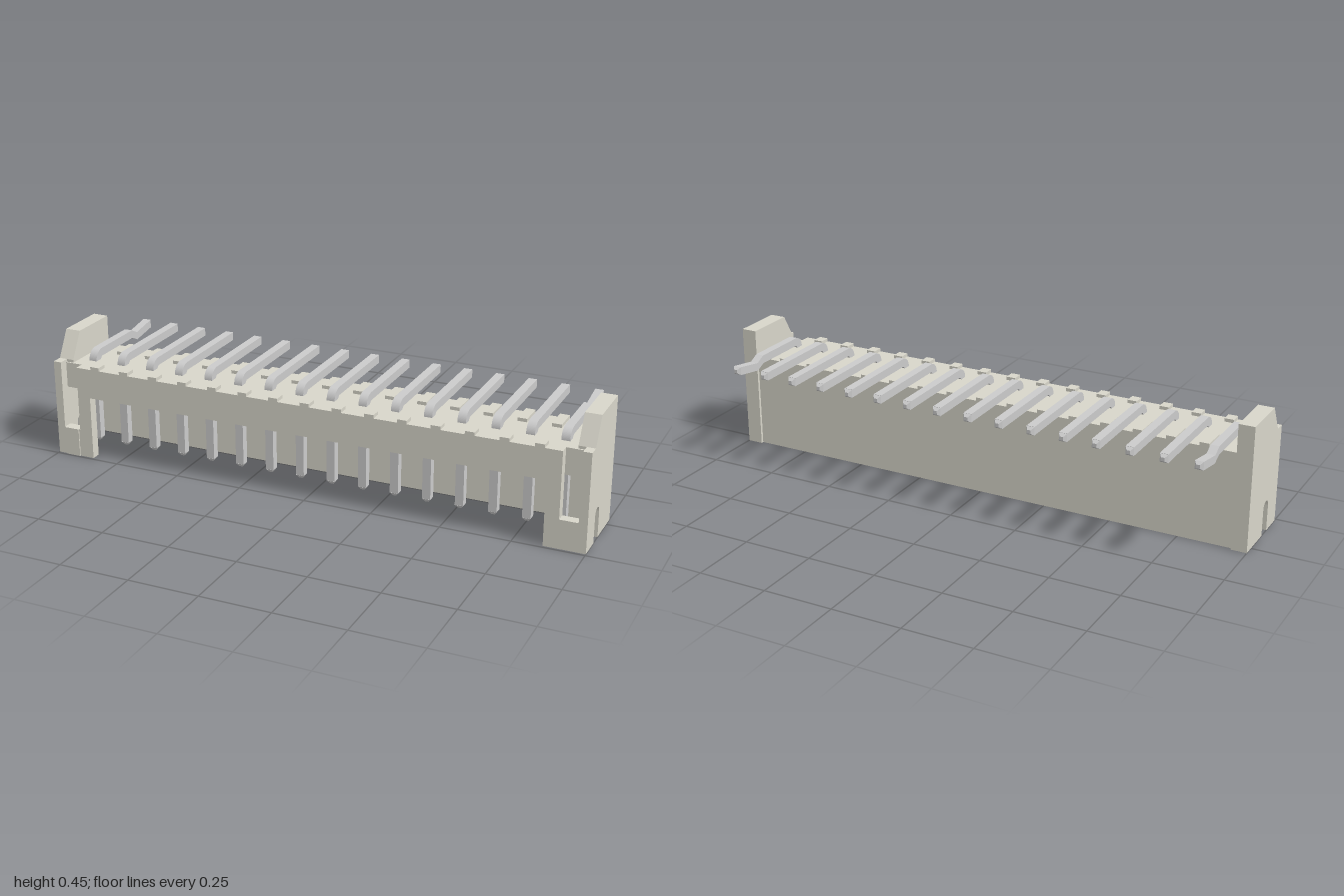
import * as THREE from 'three';

const bodyMat = new THREE.MeshStandardMaterial({ color: 0xd8d6ca, flatShading: true });
const pinMat = new THREE.MeshStandardMaterial({ color: 0xcccccc, flatShading: true });

const PINS = 16, PITCH = 0.1184, PIN_W = 0.03;

export function createModel() {
  const root = new THREE.Group();
  root.name = 'angledPinHeader';

  function add(parent, name, geo, mat) {
    const m = new THREE.Mesh(geo, mat);
    m.name = name;
    parent.add(m);
    return m;
  }

  // box given by its limits on each axis
  function block(parent, name, x0, x1, y0, y1, z0, z1) {
    const g = new THREE.BoxGeometry(x1 - x0, y1 - y0, z1 - z0);
    g.translate((x0 + x1) / 2, (y0 + y1) / 2, (z0 + z1) / 2);
    return add(parent, name, g, bodyMat);
  }

  // side profile drawn in (z, y), extruded from x0 to x1
  function sideExtrude(shape, x0, x1) {
    const g = new THREE.ExtrudeGeometry(shape, { depth: x1 - x0, bevelEnabled: false, curveSegments: 8 });
    g.rotateY(-Math.PI / 2);
    g.translate(x1, 0, 0);
    return g;
  }

  const polygon = pts => new THREE.Shape(pts.map(p => new THREE.Vector2(p[0], p[1])));

  // housing: deck, back wall and front wall around an open-bottomed cavity
  const housing = new THREE.Group();
  housing.name = 'housing';
  root.add(housing);
  block(housing, 'deck', -0.97, 0.97, 0.25, 0.345, -0.03, 0.206);
  block(housing, 'backWall', -0.97, 0.97, 0, 0.25, -0.03, 0);

  // front wall with its wide window and the two open end slots
  const half = [[0.855, 0], [0.97, 0], [0.97, 0.105], [0.905, 0.105], [0.905, 0.345]];
  const mirrored = half.map(p => [-p[0], p[1]]).reverse();
  const front = polygon([...half, ...mirrored, [-0.855, 0.235], [0.855, 0.235]]);
  const frontGeo = new THREE.ExtrudeGeometry(front, { depth: 0.035, bevelEnabled: false });
  frontGeo.translate(0, 0, 0.205);
  add(housing, 'frontWall', frontGeo, bodyMat);
  block(housing, 'firstPinMark', -0.965, -0.91, 0, 0.105, 0.24, 0.244);

  // ribs midway between the pins, on the deck and inside the cavity
  for (let i = 0; i < PINS - 1; i++) {
    const x = (i - (PINS - 2) / 2) * PITCH;
    block(housing, 'rearDeckRib', x - 0.017, x + 0.017, 0.34, 0.357, -0.03, 0.06);
    block(housing, 'frontDeckRib', x - 0.017, x + 0.017, 0.34, 0.357, 0.2, 0.24);
    block(housing, 'cavityRib', x - 0.011, x + 0.011, 0.14, 0.255, -0.01, 0.025);
  }

  // end walls: slotted outer plate, thicker above the deck and at the back corner
  function endWall(side) {
    const g = new THREE.Group();
    g.name = side > 0 ? 'leftEndWall' : 'rightEndWall';
    root.add(g);
    const plate = new THREE.Shape();
    plate.moveTo(-0.04, 0);
    plate.lineTo(0.105, 0);
    plate.lineTo(0.105, 0.095);
    plate.absarc(0.129, 0.095, 0.024, Math.PI, 0, true);
    plate.lineTo(0.153, 0);
    for (const [z, y] of [[0.24, 0], [0.24, 0.355], [0.2, 0.355], [0.147, 0.45], [-0.04, 0.45]]) plate.lineTo(z, y);
    const upper = polygon([[-0.04, 0.25], [0.2, 0.25], [0.2, 0.355], [0.147, 0.45], [-0.04, 0.45]]);
    const x = (a, b) => side > 0 ? [a, b] : [-b, -a];
    add(g, 'endPlate', sideExtrude(plate, ...x(0.97, 1)), bodyMat);
    add(g, 'upperCheek', sideExtrude(upper, ...x(0.943, 0.97)), bodyMat);
    const [a, b] = x(0.943, 0.97);
    block(g, 'backCorner', a, b, 0, 0.25, -0.04, 0);
  }
  endWall(1);
  endWall(-1);

  // bent pin body; the two outermost carry a retaining kink in the tail
  function pinGeometry(kinked) {
    const s = new THREE.Shape();
    s.moveTo(0.127, 0.045);
    s.lineTo(0.155, 0.045);
    s.lineTo(0.155, 0.345);
    s.absarc(0.115, 0.345, 0.04, 0, Math.PI / 2, false);
    const tail = kinked
      ? [[-0.095, 0.385], [-0.13, 0.367], [-0.232, 0.384], [-0.232, 0.354], [-0.13, 0.338], [-0.095, 0.355]]
      : [[-0.232, 0.385], [-0.232, 0.355]];
    for (const [z, y] of tail) s.lineTo(z, y);
    s.lineTo(0.117, 0.355);
    s.lineTo(0.127, 0.345);
    return sideExtrude(s, -PIN_W / 2, PIN_W / 2);
  }

  // four-sided tapered tip pointing down from the origin
  const tipGeo = new THREE.CylinderGeometry(PIN_W * 0.707, PIN_W * 0.3, 0.012, 4);
  tipGeo.rotateY(Math.PI / 4);
  tipGeo.translate(0, -0.006, 0);

  const straight = pinGeometry(false), kinked = pinGeometry(true);
  for (let i = 0; i < PINS; i++) {
    const pin = new THREE.Group();
    pin.name = 'pin';
    pin.position.x = (i - (PINS - 1) / 2) * PITCH;
    root.add(pin);
    add(pin, 'pinBody', i === 0 || i === PINS - 1 ? kinked : straight, pinMat);
    add(pin, 'matingTip', tipGeo, pinMat).position.set(0, 0.045, 0.141);
    const tail = add(pin, 'tailTip', tipGeo, pinMat);
    tail.position.set(0, 0.369, -0.232);
    tail.rotation.x = Math.PI / 2;
  }
  return root;
}
